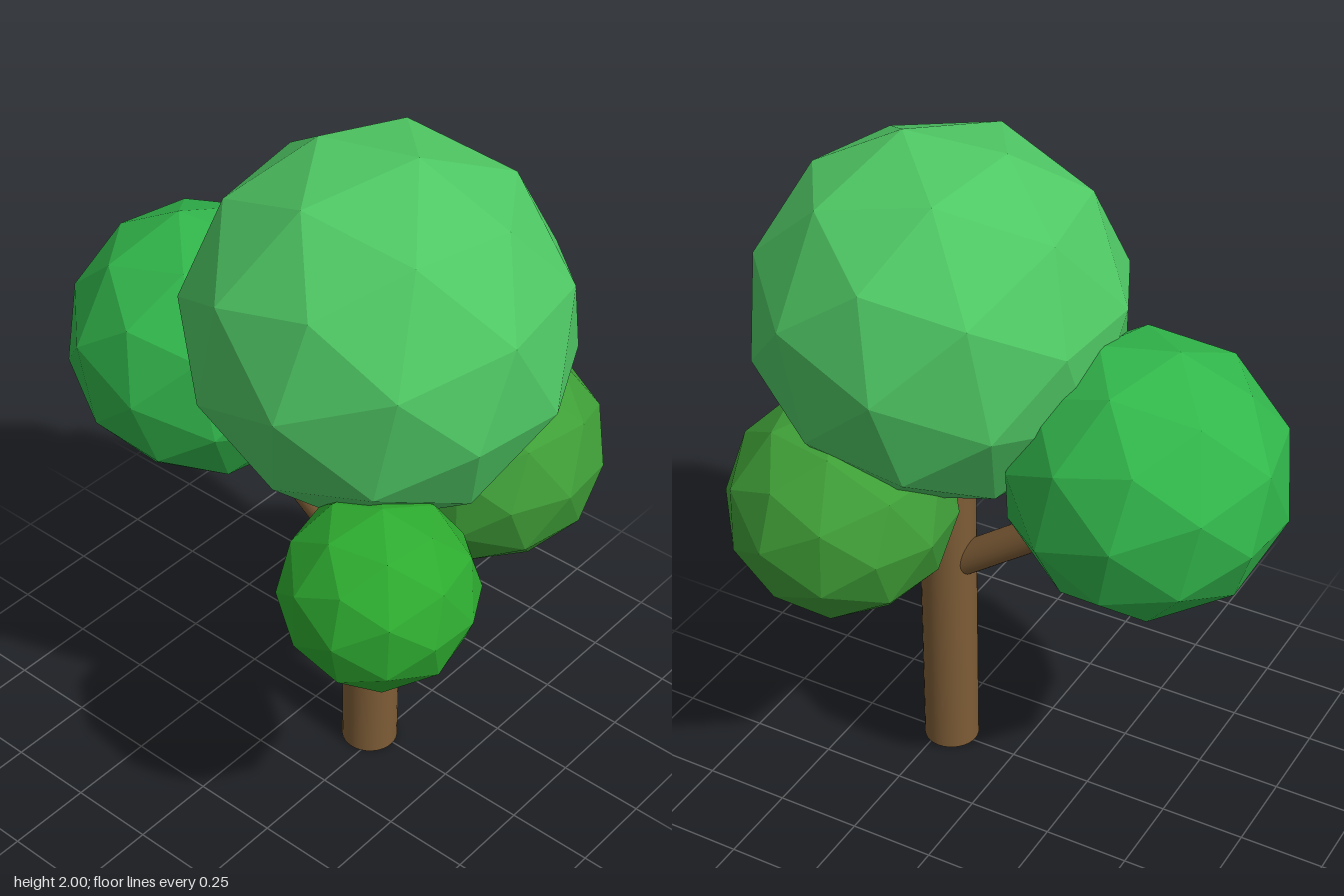
import * as THREE from 'three';

export function createModel() {
  const tree = new THREE.Group();
  tree.name = 'tree';
  const bark = new THREE.MeshStandardMaterial({ color: 0x7d5c36 });

  // Smooth round limb between two points
  function limb(name, from, to, radius) {
    const a = new THREE.Vector3(...from);
    const b = new THREE.Vector3(...to);
    const dir = b.clone().sub(a);
    const mesh = new THREE.Mesh(new THREE.CylinderGeometry(radius, radius, dir.length(), 32), bark);
    mesh.name = name;
    mesh.position.copy(a).add(b).multiplyScalar(0.5);
    mesh.quaternion.setFromUnitVectors(new THREE.Vector3(0, 1, 0), dir.normalize());
    tree.add(mesh);
  }

  // Faceted ball of leaves, turned a little about y and z (degrees)
  function foliage(name, center, radius, color, turnY, turnZ) {
    const mesh = new THREE.Mesh(
      new THREE.IcosahedronGeometry(radius, 1),
      new THREE.MeshStandardMaterial({ color, flatShading: true })
    );
    mesh.name = name;
    mesh.position.set(...center);
    mesh.rotation.set(0, THREE.MathUtils.degToRad(turnY), THREE.MathUtils.degToRad(turnZ));
    tree.add(mesh);
  }

  // Trunk and branches
  limb('trunk', [0.22, 0, 0.01], [0.22, 1.05, 0.01], 0.082);
  limb('rightBranch', [0.2, 0.64, 0.01], [-0.26, 0.97, 0.01], 0.048);
  limb('leftBranch', [0.24, 0.645, 0.03], [0.46, 0.86, 0.28], 0.038);

  // Crown
  foliage('mainFoliage', [0.22, 1.475, 0], 0.53, 0x4fc864, 10, -11);
  foliage('rightFoliage', [-0.405, 1.147, 0.005], 0.397, 0x32b84c, 12, 11);
  foliage('leftFrontFoliage', [0.527, 0.966, 0.36], 0.267, 0x2eac30, 13, -1);
  foliage('backFoliage', [0.375, 0.98, -0.295], 0.326, 0x40a038, -10, 2);

  return tree;
}
